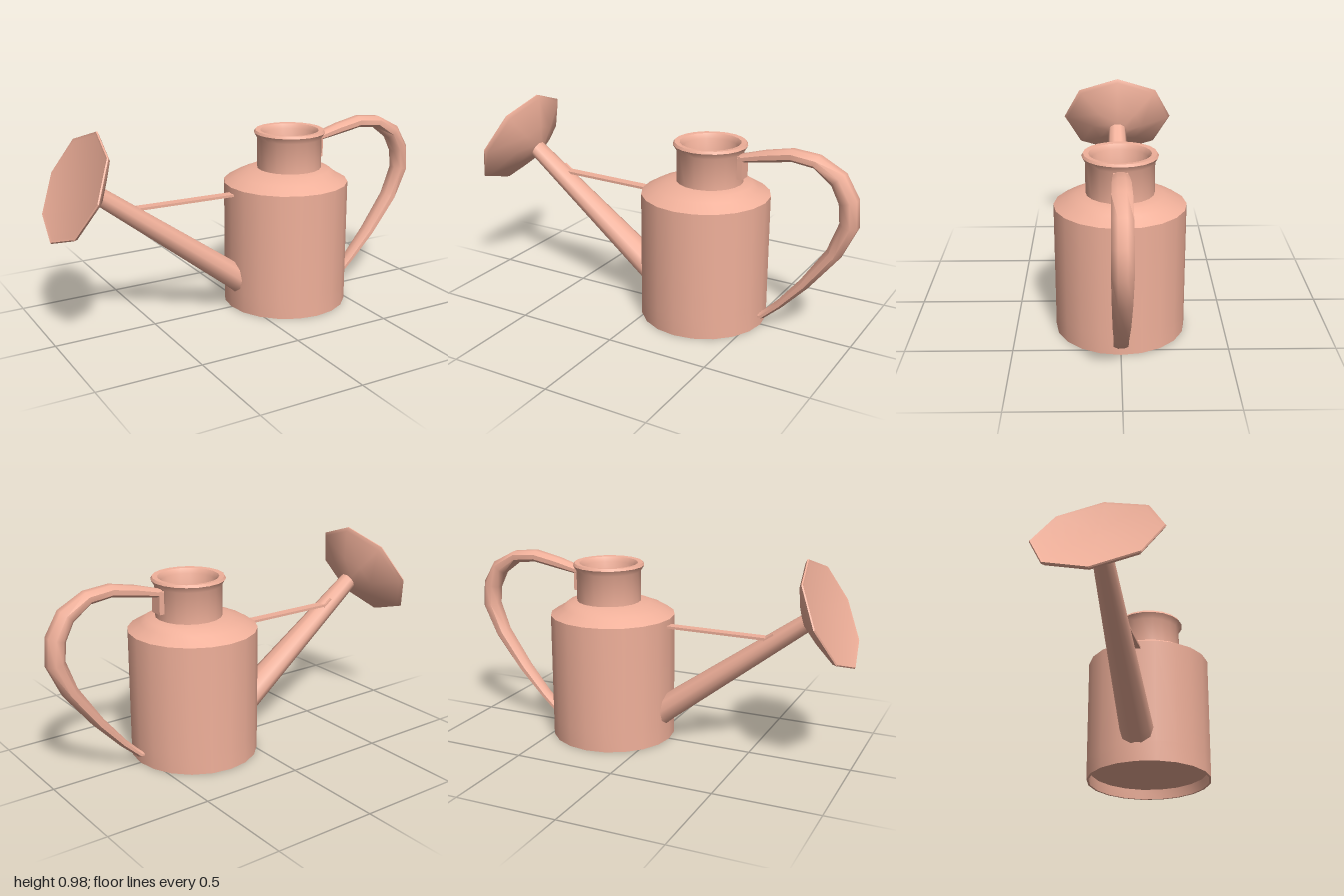
import * as THREE from 'three';
import { toCreasedNormals } from 'three/addons/utils/BufferGeometryUtils.js';

const material = new THREE.MeshStandardMaterial({ color: 0xf0b09a, side: THREE.DoubleSide });

function part(name, geometry, crease = 0.7) {
  const mesh = new THREE.Mesh(toCreasedNormals(geometry, crease), material);
  mesh.name = name;
  return mesh;
}

const lathe = (profile, sides) =>
  new THREE.LatheGeometry(profile.map(([r, y]) => new THREE.Vector2(r, y)), sides);

// Sweeps an oval section along stations [x, y, half thickness, half width] in the z = 0 plane.
function sweep(stations, sides) {
  const positions = [], index = [], n = stations.length;
  stations.forEach(([x, y, thick, wide], i) => {
    const a = stations[Math.max(i - 1, 0)], b = stations[Math.min(i + 1, n - 1)];
    const len = Math.hypot(b[0] - a[0], b[1] - a[1]);
    const nx = -(b[1] - a[1]) / len, ny = (b[0] - a[0]) / len;
    for (let j = 0; j < sides; j++) {
      const t = ((j + 0.5) / sides) * Math.PI * 2, k = 1 / Math.cos(Math.PI / sides);
      const u = Math.cos(t) * thick * k, w = Math.sin(t) * wide * k;
      positions.push(x + nx * u, y + ny * u, w);
    }
  });
  for (let i = 0; i < n - 1; i++) {
    for (let j = 0; j < sides; j++) {
      const a = i * sides + j, b = i * sides + (j + 1) % sides;
      index.push(a, a + sides, b, b, a + sides, b + sides);
    }
  }
  // End caps
  const last = (n - 1) * sides;
  for (let j = 1; j < sides - 1; j++) {
    index.push(0, j, j + 1, last, last + j + 1, last + j);
  }
  // Wind the faces outwards
  for (let i = 0; i < index.length; i += 3) [index[i + 1], index[i + 2]] = [index[i + 2], index[i + 1]];
  const g = new THREE.BufferGeometry();
  g.setAttribute('position', new THREE.Float32BufferAttribute(positions, 3));
  g.setIndex(index);
  g.computeVertexNormals();
  return g;
}

export function createModel() {
  const can = new THREE.Group();
  can.name = 'wateringCan';

  // Body with recessed base, shoulder, neck and rolled rim
  const bodyGeometry = lathe([
    [0, 0.05], [0.295, 0.05], [0.3, 0], [0.31, 0], [0.31, 0.1], [0.31, 0.625],
    [0.25, 0.66], [0.205, 0.682], [0.16, 0.69], [0.16, 0.84], [0.177, 0.868],
    [0.17, 0.88], [0.145, 0.878], [0.13, 0.855], [0.13, 0.69],
  ], 20);
  // The neck sits slightly towards the handle
  const p = bodyGeometry.attributes.position;
  for (let i = 0; i < p.count; i++) if (p.getY(i) > 0.67) p.setX(i, p.getX(i) + 0.02);
  const body = part('body', bodyGeometry);
  body.position.x = 0.235;
  can.add(body);

  // Tapered spout
  can.add(part('spout', sweep([
    [-0.01, 0.125, 0.066, 0.08], [-0.07, 0.172, 0.062, 0.078], [-0.77, 0.695, 0.04, 0.045],
  ], 10), 0.9));

  // Octagonal sprinkler head
  const rose = part('sprinklerHead', lathe([
    [0, -0.13], [0.06, -0.124], [0.14, -0.092], [0.285, -0.022], [0.3, -0.006],
    [0.296, 0], [0.28, -0.004], [0, -0.006],
  ], 8), 0.6);
  rose.scale.x = 0.9;
  rose.rotation.z = Math.atan2(0.48, 0.24);
  rose.position.set(-0.873, 0.74, 0);
  can.add(rose);

  // Flat brace between spout and body
  const brace = part('brace', new THREE.BoxGeometry(0.57, 0.012, 0.048));
  brace.position.set(-0.315, 0.591, -0.008);
  brace.rotation.set(0, -0.02, -0.006);
  can.add(brace);
  const braceTab = part('braceTab', new THREE.BoxGeometry(0.06, 0.012, 0.045));
  braceTab.position.set(-0.59, 0.602, -0.016);
  braceTab.rotation.z = -0.63;
  can.add(braceTab);

  // Looped handle and the tab fixing it to the neck
  can.add(part('handle', sweep([
    [0.41, 0.822, 0.018, 0.034], [0.54, 0.852, 0.026, 0.038], [0.67, 0.877, 0.028, 0.041],
    [0.785, 0.865, 0.03, 0.044], [0.89, 0.8, 0.04, 0.046], [0.943, 0.705, 0.043, 0.047],
    [0.952, 0.595, 0.042, 0.047], [0.89, 0.448, 0.035, 0.044], [0.76, 0.27, 0.026, 0.04],
    [0.64, 0.135, 0.019, 0.034], [0.555, 0.055, 0.015, 0.034], [0.535, 0.055, 0.012, 0.034],
  ], 8), 0.9));
  const tab = part('handleTab', new THREE.BoxGeometry(0.03, 0.11, 0.066));
  tab.position.set(0.42, 0.782, 0);
  can.add(tab);

  return can;
}
